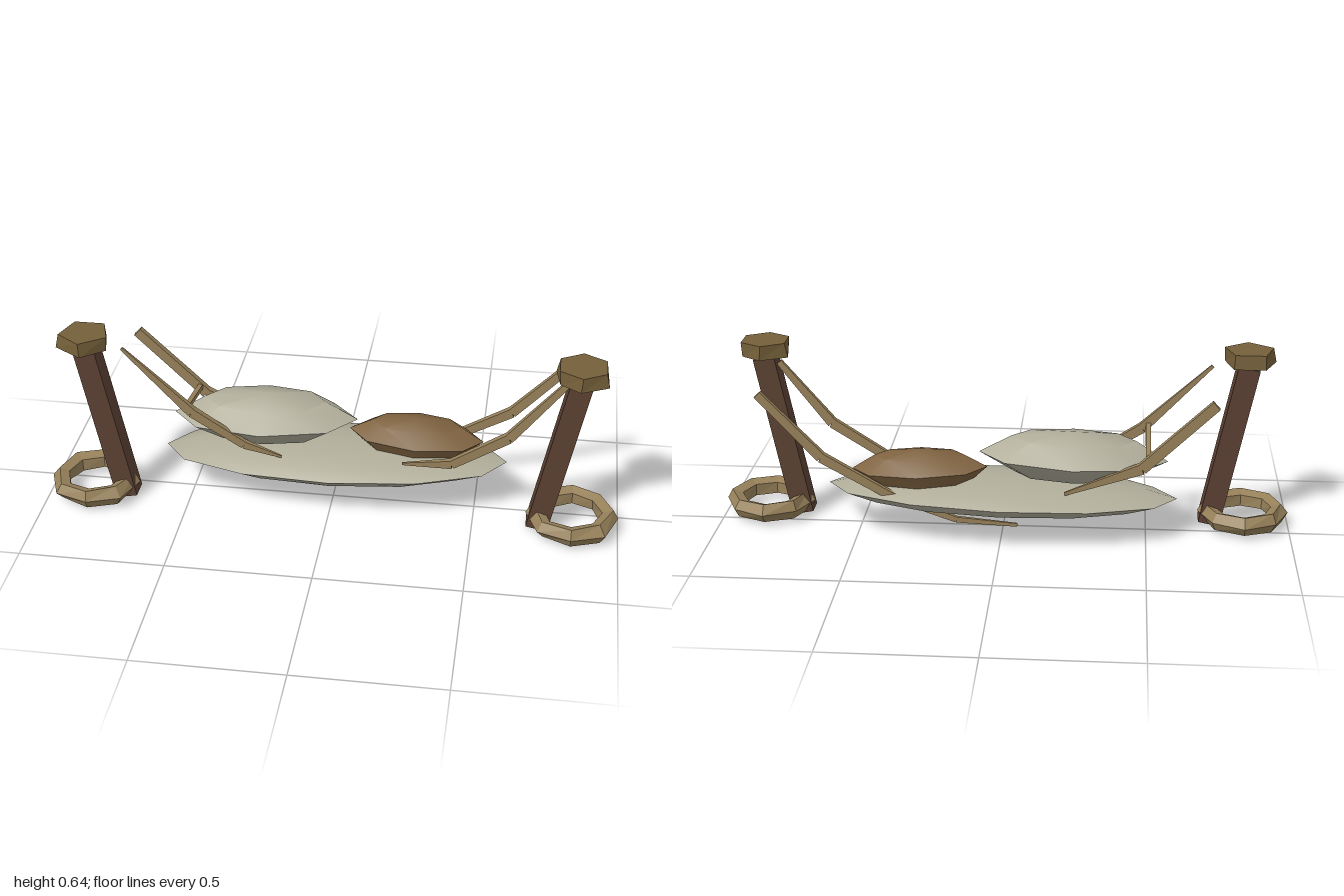
import * as THREE from 'three';
import { toCreasedNormals } from 'three/addons/utils/BufferGeometryUtils.js';

const flat = (color, name) => Object.assign(new THREE.MeshStandardMaterial({ color, flatShading: true }), { name });

export function createModel() {
  const group = new THREE.Group();
  const linen = new THREE.MeshStandardMaterial({ color: 0xb0ad9a });
  linen.name = 'grey linen';
  const leather = new THREE.MeshStandardMaterial({ color: 0x7f6340 });
  leather.name = 'brown cloth';
  const wood = flat(0x5c4133, 'dark wood');
  const capWood = flat(0x75603a, 'cap wood');
  const rope = flat(0x97815a, 'rope');

  const add = (geometry, material, name, parent = group) => {
    const mesh = new THREE.Mesh(geometry, material);
    mesh.name = name;
    parent.add(mesh);
    return mesh;
  };

  // Moves vertices by a rule that depends only on position
  const warp = (geometry, rule) => {
    const p = geometry.attributes.position;
    const v = new THREE.Vector3();
    for (let i = 0; i < p.count; i++) {
      v.fromBufferAttribute(p, i);
      rule(v);
      p.setXYZ(i, v.x, v.y, v.z);
    }
    geometry.computeVertexNormals();
    return geometry;
  };

  // Soft cushion: a low-poly profile turned, stretched and leaned along x
  const cushion = (profile, sides, size, centre, lean, material, name) => {
    let g = new THREE.LatheGeometry(profile.map(([r, y]) => new THREE.Vector2(r, y)), sides);
    g = warp(g, (v) => {
      v.y += lean * v.x * Math.hypot(v.x, v.z);
      v.set(v.x * size[0], v.y * size[1], v.z * size[2]);
    });
    const mesh = add(toCreasedNormals(g, 0.75), material, name);
    mesh.position.set(...centre);
  };

  // Shallow bed
  cushion([[0, -1], [0.45, -0.93], [0.82, -0.55], [1, 0.05], [0.82, 0.55], [0.45, 0.85], [0, 1]],
    12, [0.605, 0.057, 0.2], [0, 0.157, -0.045], 0.25, linen, 'bed');

  // Folded blanket and small bundle lying on it
  cushion([[0, -1], [0.62, -0.8], [1, -0.05], [0.66, 0.72], [0, 1]],
    8, [0.325, 0.086, 0.146], [-0.245, 0.297, -0.046], 0.12, linen, 'blanket');
  cushion([[0, -1], [0.75, -0.92], [1, -0.1], [0.66, 0.65], [0, 1]],
    8, [0.235, 0.062, 0.11], [0.285, 0.252, -0.066], -0.15, leather, 'bundle');

  // Straight tapered bar between two points
  const bar = (a, b, ra, rb, depth, name, parent) => {
    const from = new THREE.Vector3(...a);
    const dir = new THREE.Vector3(...b).sub(from);
    const g = new THREE.CylinderGeometry(rb, ra, dir.length(), 4, 1, false, Math.PI / 4);
    g.scale(1, 1, depth);
    const mesh = add(g, rope, name, parent);
    mesh.position.copy(from).addScaledVector(dir, 0.5);
    mesh.quaternion.setFromUnitVectors(new THREE.Vector3(0, 1, 0), dir.normalize());
  };

  // Leaning posts with faceted caps and coiled feet
  for (const side of [-1, 1]) {
    const name = side > 0 ? 'left' : 'right';
    const post = add(new THREE.BoxGeometry(0.075, 0.586, 0.076), wood, name + 'Post');
    post.position.set(side * 0.78, 0.303, 0.082);
    post.rotation.z = -side * 0.2;

    const cap = add(warp(new THREE.CylinderGeometry(0.088, 0.092, 0.05, side > 0 ? 6 : 5), (v) => {
      if (v.y < 0) v.x += side * 0.008 * Math.sin(v.z * 40);
    }), capWood, name + 'Cap');
    cap.position.set(side * 0.838, 0.623, 0.087);

    const coil = warp(new THREE.TorusGeometry(0.131, 0.033, 5, 8).rotateX(Math.PI / 2), (v) => {
      const a = Math.atan2(v.z, v.x);
      const k = 1 + 0.03 * Math.sin(3 * a + v.y * 50);
      v.set(v.x * k * 0.97, v.y * (1.05 + 0.08 * Math.sin(2 * a)), v.z * k);
    });
    add(coil, rope, name + 'RopeCoil').position.set(side * 0.84, 0.055, 0.076);
  }

  // Hanging ropes: lists of points [x, y, half thickness] at one z
  const ropes = {
    frontRightRope: [0.078, [[-0.715, 0.59, 0.008], [-0.48, 0.36, 0.024], [-0.3, 0.245, 0.02], [-0.17, 0.205, 0.006]]],
    backRightRope: [-0.163, [[-0.72, 0.53, 0.024], [-0.48, 0.3, 0.026], [-0.22, 0.2, 0.008]]],
    frontLeftRope: [0.08, [[0.79, 0.57, 0.015], [0.61, 0.35, 0.024], [0.42, 0.23, 0.022], [0.25, 0.215, 0.006]]],
    backLeftRope: [-0.16, [[0.82, 0.53, 0.02], [0.61, 0.31, 0.024], [0.38, 0.18, 0.02], [0.15, 0.095, 0.014], [-0.06, 0.08, 0.008]]],
  };
  for (const [name, [z, points]] of Object.entries(ropes)) {
    const part = new THREE.Group();
    part.name = name;
    group.add(part);
    for (let i = 1; i < points.length; i++) {
      const [a, b] = [points[i - 1], points[i]];
      bar([a[0], a[1], z], [b[0], b[1], z], a[2], b[2], 0.65, name + 'Length' + i, part);
    }
  }

  // Cross cord joining the two ropes at the blanket end
  bar([-0.5, 0.375, 0.085], [-0.5, 0.325, -0.17], 0.012, 0.012, 1, 'crossCord', group);

  return group;
}
